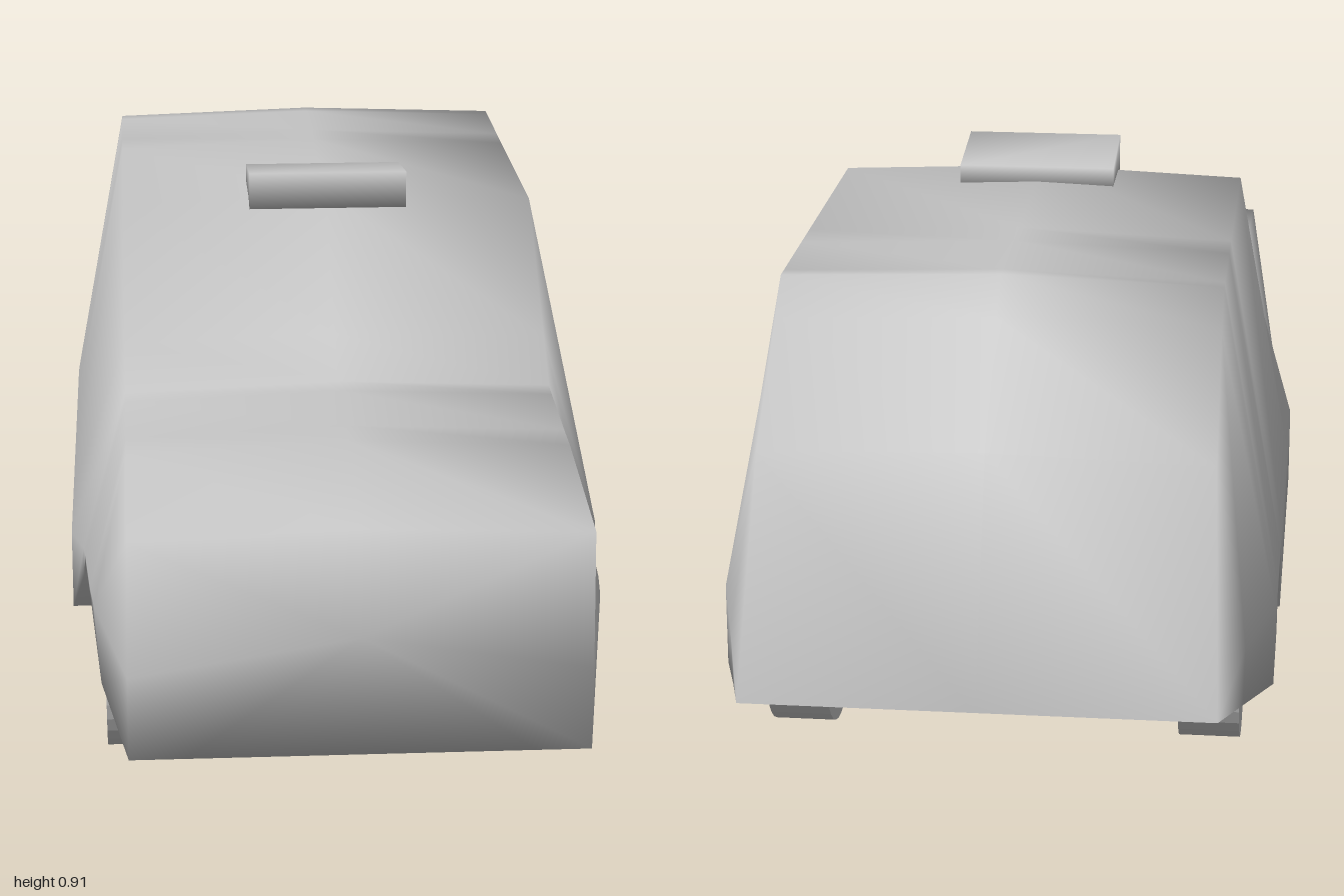
import * as THREE from 'three';
import { mergeVertices } from 'three/addons/utils/BufferGeometryUtils.js';

// Indexed geometry with smooth normals; shared corners are welded
function smoothGeometry(points, index) {
  const g = new THREE.BufferGeometry();
  g.setAttribute('position', new THREE.Float32BufferAttribute(points.flat(), 3));
  g.setIndex(index);
  const welded = mergeVertices(g, 1e-4);
  welded.computeVertexNormals();
  return welded;
}

// Cross-sections from nose to tail:
// z, floor y, wheel arch y, sill half-width, waist half-width, waist y, roof half-width, roof edge y, roof centre y
const SECTIONS = [
  [1.0, 0.17, 0.17, 0.37, 0.37, 0.31, 0.367, 0.54, 0.553],
  [0.69, 0.17, 0.17, 0.415, 0.425, 0.31, 0.367, 0.577, 0.592],
  [0.62, 0.17, 0.305, 0.432, 0.432, 0.315, 0.367, 0.58, 0.595],
  [0.46, 0.17, 0.305, 0.442, 0.442, 0.315, 0.367, 0.59, 0.604],
  [0.42, 0.17, 0.26, 0.445, 0.445, 0.31, 0.367, 0.594, 0.608],
  [0.34, 0.17, 0.17, 0.467, 0.467, 0.31, 0.367, 0.658, 0.672],
  [0.10, 0.17, 0.17, 0.467, 0.467, 0.31, 0.367, 0.845, 0.86],
  [-0.33, 0.17, 0.17, 0.467, 0.467, 0.31, 0.367, 0.845, 0.859],
  [-0.41, 0.17, 0.29, 0.467, 0.467, 0.31, 0.367, 0.845, 0.858],
  [-0.58, 0.17, 0.285, 0.467, 0.467, 0.31, 0.367, 0.845, 0.857],
  [-0.61, 0.17, 0.24, 0.467, 0.467, 0.31, 0.367, 0.845, 0.857],
  [-0.67, 0.17, 0.17, 0.465, 0.465, 0.31, 0.367, 0.79, 0.802],
  [-0.85, 0.21, 0.21, 0.42, 0.422, 0.31, 0.37, 0.62, 0.63],
  [-1.0, 0.245, 0.245, 0.385, 0.385, 0.245, 0.385, 0.245, 0.245],
];

function bodyGeometry() {
  const points = [], index = [];
  const inner = 0.28; // inner wall of the wheel wells
  for (const [z, floor, arch, sill, waist, waistY, roof, edgeY, topY] of SECTIONS) {
    const half = [[0, floor], [inner, floor], [inner, arch], [sill, arch],
      [waist, waistY], [roof, edgeY], [0, topY]];
    const mirrored = half.slice(1, -1).reverse().map(([x, y]) => [-x, y]);
    points.push(...[...half, ...mirrored].map(([x, y]) => [x, y, z]));
  }
  const n = points.length / SECTIONS.length;
  for (let s = 0; s < SECTIONS.length - 1; s++) {
    for (let i = 0; i < n; i++) {
      const a = s * n + i, b = s * n + (i + 1) % n;
      index.push(a, a + n, b + n, a, b + n, b);
    }
  }
  // Nose panel
  const centre = points.length;
  points.push([0, 0.37, 1]);
  for (let i = 0; i < n; i++) index.push(centre, i, (i + 1) % n);
  return smoothGeometry(points, index);
}

// Wedge that is taller at the front
function roofSignGeometry() {
  const box = new THREE.BoxGeometry(0.28, 1, 0.165);
  const p = box.attributes.position, points = [];
  for (let i = 0; i < p.count; i++) {
    const top = p.getZ(i) > 0 ? 0.91 : 0.887;
    points.push([p.getX(i), p.getY(i) > 0 ? top : 0.845, p.getZ(i) + 0.0625]);
  }
  return smoothGeometry(points, [...box.index.array]);
}

export function createModel() {
  const car = new THREE.Group();
  car.name = 'car';
  const grey = new THREE.MeshStandardMaterial({ color: 0xc4c4c4 });
  grey.name = 'plain grey';

  const add = (name, geometry) => {
    const mesh = new THREE.Mesh(geometry, grey);
    mesh.name = name;
    car.add(mesh);
    return mesh;
  };

  add('body', bodyGeometry());
  add('roofSign', roofSignGeometry());

  // Wheels with flat tread facets
  const wheel = new THREE.CylinderGeometry(0.157, 0.157, 0.105, 32)
    .rotateZ(Math.PI / 2).toNonIndexed();
  wheel.computeVertexNormals();
  for (const [end, z] of [['front', 0.53], ['rear', -0.485]]) {
    for (const [side, sign] of [['Left', 1], ['Right', -1]]) {
      add(`${end}${side}Wheel`, wheel).position.set(sign * 0.355, 0.157, z);
    }
  }
  return car;
}
